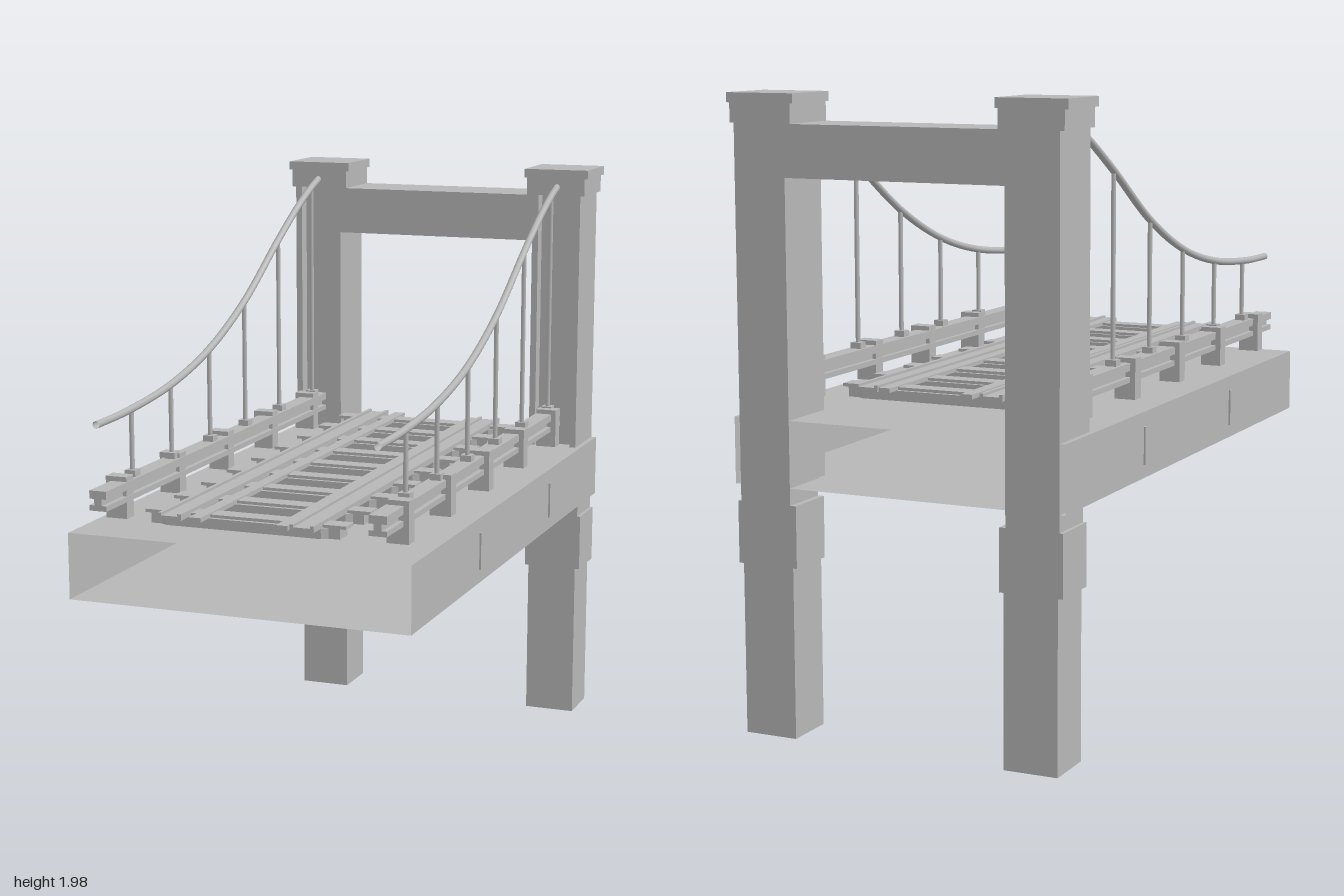
import * as THREE from 'three';

export function createModel() {
  const model = new THREE.Group();
  const grey = new THREE.MeshStandardMaterial({ color: 0xb6b6b6, side: THREE.DoubleSide });
  grey.name = 'concrete grey';

  const add = (parent, name, geometry) => {
    const mesh = new THREE.Mesh(geometry, grey);
    mesh.name = name;
    parent.add(mesh);
    return mesh;
  };
  // Box given by its limits on each axis
  const box = (parent, name, [x0, x1], [y0, y1], [z0, z1]) => {
    const mesh = add(parent, name, new THREE.BoxGeometry(Math.abs(x1 - x0), y1 - y0, Math.abs(z1 - z0)));
    mesh.position.set((x0 + x1) / 2, (y0 + y1) / 2, (z0 + z1) / 2);
    return mesh;
  };
  const group = (name) => {
    const g = new THREE.Group();
    g.name = name;
    model.add(g);
    return g;
  };

  // Hollow road deck, open at both ends
  const deck = group('deck');
  for (const [name, y] of [['deckTop', 0.997], ['deckUnderside', 0.788]]) {
    const plate = add(deck, name, new THREE.PlaneGeometry(1.106, 2));
    plate.rotation.x = y > 0.9 ? -Math.PI / 2 : Math.PI / 2;
    plate.position.y = y;
  }
  for (const s of [-1, 1]) {
    const wall = add(deck, 'deckSide', new THREE.PlaneGeometry(2, 0.209));
    wall.rotation.y = s * Math.PI / 2;
    wall.position.set(s * 0.553, 0.8925, 0);
    for (const z of [0.363, -0.398])
      box(deck, 'sideRib', [s * 0.553, s * 0.559], [0.83, 0.95], [z - 0.006, z + 0.006]);
  }

  // Portal tower: two pillars with a recessed front, joined by a crossbeam
  const tower = group('tower');
  const back = -1, front = -0.785, recess = -0.83;
  for (const s of [-1, 1]) {
    const across = (a, b) => [s * a, s * b];
    box(tower, 'lowerLeg', across(0.355, 0.53), [0, 0.54], [back, recess]);
    box(tower, 'legCollar', across(0.342, 0.546), [0.54, 0.735], [back, recess]);
    box(tower, 'pillarCore', across(0.362, 0.535), [0.735, 1.89], [back, recess]);
    box(tower, 'pillarOuterEdge', across(0.513, 0.535), [0.79, 1.89], [recess, front]);
    box(tower, 'pillarInnerEdge', across(0.362, 0.384), [0.79, 1.89], [recess, front]);
    box(tower, 'pillarSill', across(0.384, 0.513), [0.79, 0.83], [recess, front]);
    box(tower, 'capNeck', across(0.341, 0.549), [1.89, 1.95], [back, front]);
    box(tower, 'capSlab', across(0.331, 0.56), [1.95, 1.98], [back, front]);
  }
  box(tower, 'crossbeam', [-0.362, 0.362], [1.73, 1.89], [back, front]);

  // Suspension cables, hangers and side girders
  const curve = new THREE.CatmullRomCurve3(
    [[1, 1.337], [0.8, 1.342], [0.48, 1.373], [0.183, 1.442], [-0.108, 1.562],
      [-0.408, 1.738], [-0.6, 1.842], [-0.72, 1.895], [-0.79, 1.92]]
      .map(([z, y]) => new THREE.Vector3(0, y, z)));
  const cableHeight = (z) => {
    const pts = curve.getPoints(200);
    return pts.reduce((a, b) => (Math.abs(b.z - z) < Math.abs(a.z - z) ? b : a)).y;
  };
  for (const s of [-1, 1]) {
    const side = group(s > 0 ? 'leftSuspension' : 'rightSuspension');
    side.position.x = s * 0.449;
    add(side, 'cable', new THREE.TubeGeometry(curve, 60, 0.012, 8));
    for (const z of [0.763, 0.48, 0.183, -0.108, -0.408, -0.72]) {
      const top = cableHeight(z);
      const hanger = add(side, 'hanger', new THREE.CylinderGeometry(0.008, 0.008, top - 1.13, 8));
      hanger.position.set(0, (top + 1.13) / 2, z);
      box(side, 'hangerFoot', [-0.018, 0.018], [1.13, 1.155], [z - 0.018, z + 0.018]);
    }
    // I-section girder with clamps around it
    box(side, 'girderTopFlange', [-0.028, 0.028], [1.11, 1.135], [front, 1]);
    box(side, 'girderWeb', [-0.012, 0.012], [1.09, 1.11], [front, 1]);
    box(side, 'girderBottomFlange', [-0.028, 0.028], [1.073, 1.09], [front, 1]);
    for (const z of [0.833, 0.452, 0.07, -0.31, -0.692])
      box(side, 'girderClamp', [s * -0.025, s * 0.045], [1.019, 1.15], [z - 0.024, z + 0.024]);
  }

  // Railway sleepers: wide middle, tapered ends, thin plate on top
  const track = group('track');
  const outline = new THREE.Shape([
    [-0.305, -0.03], [-0.27, -0.03], [-0.25, -0.043], [0.25, -0.043], [0.27, -0.03], [0.305, -0.03],
    [0.305, 0.03], [0.27, 0.03], [0.25, 0.043], [-0.25, 0.043], [-0.27, 0.03], [-0.305, 0.03],
  ].map(([x, y]) => new THREE.Vector2(x, y)));
  const sleeper = new THREE.ExtrudeGeometry(outline, { depth: 0.032, bevelEnabled: false });
  sleeper.rotateX(-Math.PI / 2);
  for (let i = 0; i < 9; i++) {
    const z = 0.9 - i * 0.2;
    add(track, 'sleeper', sleeper).position.set(0, 1.035, z);
    box(track, 'sleeperPlate', [-0.325, 0.325], [1.066, 1.076], [z - 0.03, z + 0.03]);
  }

  // Running rails with lipped edges, and the inner guard rails
  for (const s of [-1, 1]) {
    box(track, 'railBase', [s * 0.175, s * 0.25], [1.066, 1.078], [front, 1]);
    for (const x of [0.18, 0.245])
      box(track, 'railLip', [s * (x - 0.006), s * (x + 0.006)], [1.07, 1.086], [front, 1]);
    const g = s > 0 ? 0.15 : -0.13;
    box(track, 'guardRail', [g - 0.019, g + 0.019], [1.066, 1.08], [front, 1]);
  }
  return model;
}
